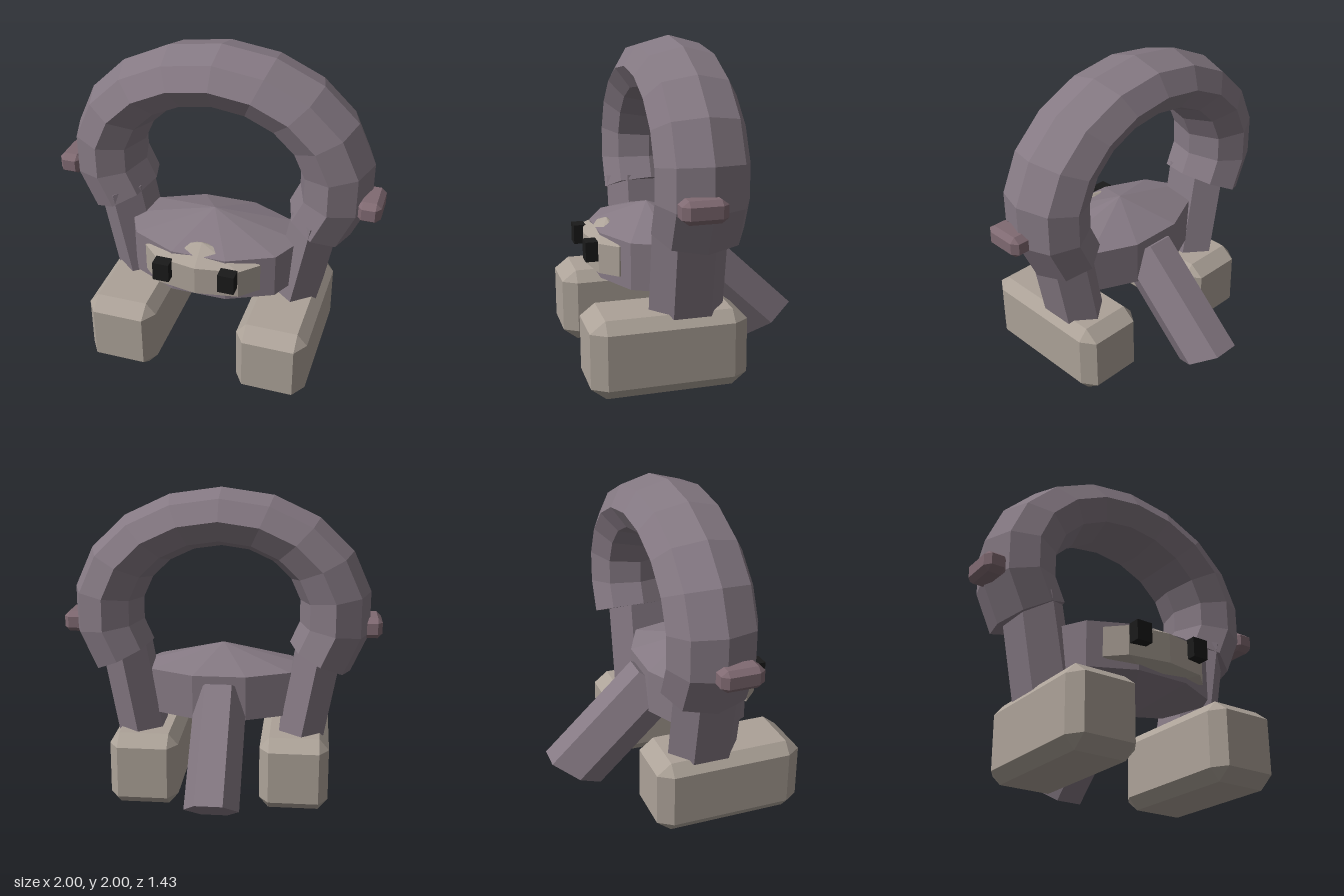
import * as THREE from 'three';
import { ConvexGeometry } from 'three/addons/geometries/ConvexGeometry.js';

const paint = (color) => new THREE.MeshStandardMaterial({ color, flatShading: true });
const fur = paint(0x857983);
const cream = paint(0xaca298);
const pink = paint(0x806a72);
const black = paint(0x1a1a1a);

// Box with all twelve edges chamfered by (cx, cy, cz)
function chamferBox(w, h, d, cx, cy, cz) {
  const pts = [];
  for (const sx of [-0.5, 0.5]) for (const sy of [-0.5, 0.5]) for (const sz of [-0.5, 0.5]) {
    const x = sx * w, y = sy * h, z = sz * d;
    const ix = x - 2 * sx * cx, iy = y - 2 * sy * cy, iz = z - 2 * sz * cz;
    pts.push(new THREE.Vector3(x, iy, iz), new THREE.Vector3(ix, y, iz), new THREE.Vector3(ix, iy, z));
  }
  return new ConvexGeometry(pts);
}

// Low-poly lens: one band of side faces closed by two shallow cones
function lens(segments, rx, ry, rz) {
  const k = Math.sin(Math.PI / 3);
  return new THREE.SphereGeometry(1, segments, 3).scale(rx / k, ry, rz / k);
}

export function createModel() {
  const model = new THREE.Group();
  const add = (name, geometry, material, x = 0, y = 0, z = 0) => {
    const mesh = new THREE.Mesh(geometry, material);
    mesh.name = name;
    mesh.position.set(x, y, z);
    model.add(mesh);
    return mesh;
  };

  // Arch: 240 degree ring stretched in x and z, with closed ends
  const ringR = 0.58, tubeR = 0.178, stretch = [1.237, 1, 1.54];
  const arch = new THREE.TorusGeometry(ringR, tubeR, 8, 12, Math.PI * 4 / 3)
    .rotateZ(-Math.PI / 6).scale(...stretch);
  add('arch', arch, fur, 0, 1.24, 0.083);
  for (const [name, angle, turn] of [['leftArchEnd', -Math.PI / 6, Math.PI / 2], ['rightArchEnd', Math.PI * 7 / 6, -Math.PI / 2]]) {
    const cap = new THREE.CircleGeometry(tubeR, 8).rotateX(turn)
      .translate(ringR, 0, 0).rotateZ(angle).scale(...stretch);
    add(name, cap, fur, 0, 1.24, 0.083);
  }

  // Body and muzzle
  add('body', lens(10, 0.54, 0.28, 0.344), fur, 0, 0.71, 0.228);
  add('muzzle', lens(8, 0.36, 0.18, 0.145), cream, 0, 0.72, 0.48);

  // Tail: slanted hexagonal bar
  const tail = new THREE.CylinderGeometry(1, 1, 1, 6).rotateY(Math.PI / 6);
  tail.applyMatrix4(new THREE.Matrix4().makeBasis(
    new THREE.Vector3(0.166, 0, 0),
    new THREE.Vector3(0, 0.55, 0.581),
    new THREE.Vector3(0, -0.115, 0.179)));
  add('tail', tail, fur, 0, 0.435, -0.266);

  // Paired parts
  for (const [side, s] of [['left', 1], ['right', -1]]) {
    add(side + 'Foot', chamferBox(0.434, 0.47, 0.93, 0.06, 0.07, 0.09), cream, s * 0.475, 0.235, 0.25);
    const leg = add(side + 'Leg', new THREE.CylinderGeometry(1, 1, 0.59, 6).scale(0.162, 1, 0.225),
      fur, s * 0.565, 0.735, 0.122);
    leg.rotation.z = -s * 0.18;
    add(side + 'Knob', chamferBox(0.14, 0.13, 0.26, 0.03, 0.03, 0.04), pink, s * 0.93, 1.145, 0.15);
    add(side + 'Eye', new THREE.BoxGeometry(0.1, 0.12, 0.075), black, s * 0.2, 0.76, 0.62);
  }
  return model;
}
